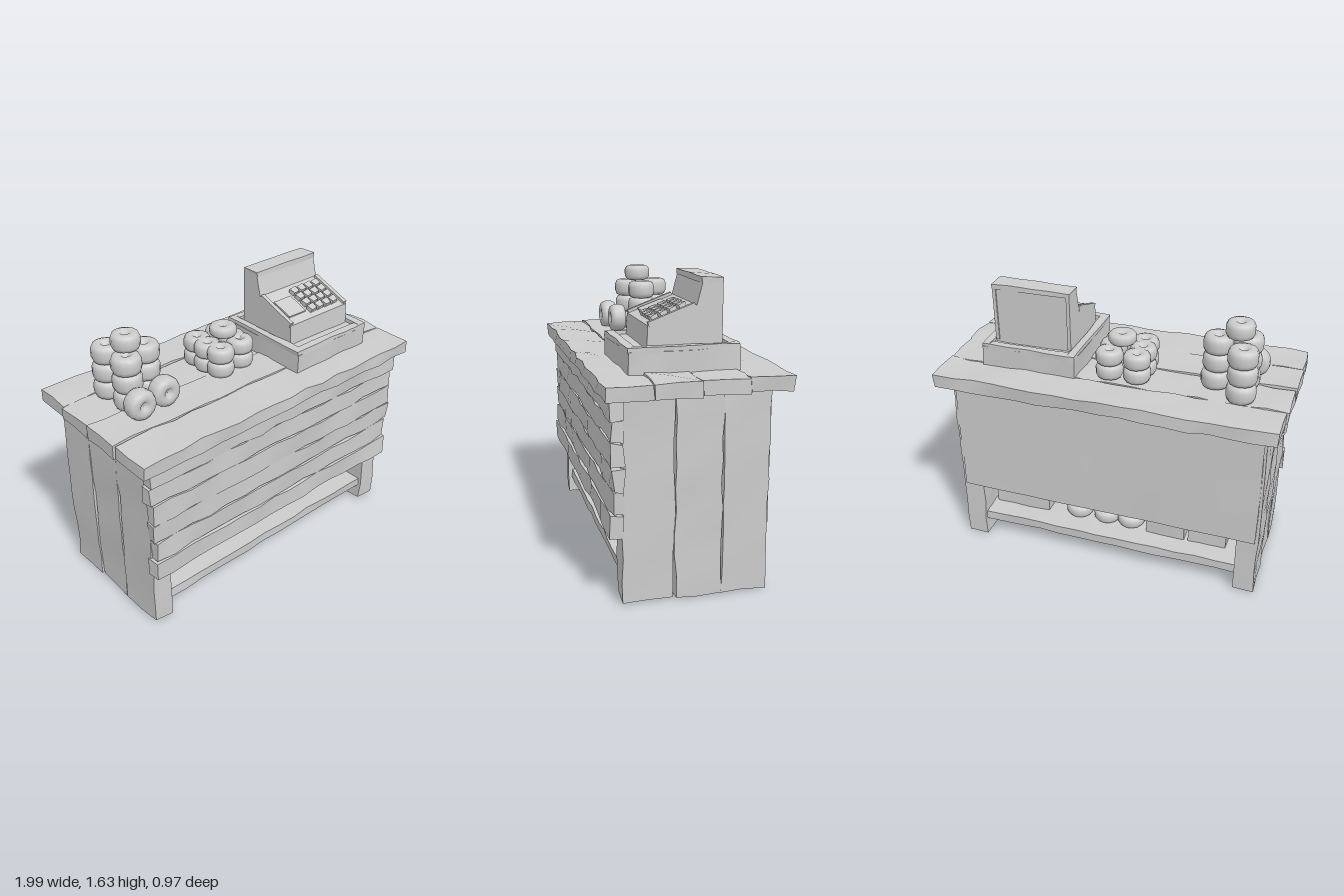
import * as THREE from 'three';
import { toCreasedNormals } from 'three/addons/utils/BufferGeometryUtils.js';

const stone = new THREE.MeshStandardMaterial({ color: 0xcccccc });
stone.name = 'plain light grey';

// Repeatable value from -0.5 to 0.5 for a point, so shared corners stay joined
function noise(x, y, z, seed) {
  const s = Math.sin(x * 127.1 + y * 311.7 + z * 74.7 + seed * 19.3) * 43758.5453;
  return s - Math.floor(s) - 0.5;
}

// Shift the vertices of a geometry a little for a hand-hewn surface
function roughen(geo, amount, crease = 0.6) {
  const p = geo.attributes.position;
  for (let i = 0; i < p.count; i++) {
    const [x, y, z] = [p.getX(i), p.getY(i), p.getZ(i)].map((v) => Math.round(v * 1000) / 1000);
    p.setXYZ(i,
      x + noise(x, y, z, 1) * amount,
      y + noise(x, y, z, 2) * amount,
      z + noise(x, y, z, 3) * amount);
  }
  return toCreasedNormals(geo, crease);
}

function add(parent, name, geo) {
  const mesh = new THREE.Mesh(geo, stone);
  mesh.name = name;
  parent.add(mesh);
  return mesh;
}

// Box between two limits on each axis, split into cells of about the given size
function slab(parent, name, [x0, x1], [y0, y1], [z0, z1], rough = 0, cell = 0.12) {
  const n = (d) => (rough ? Math.max(1, Math.round(d / cell)) : 1);
  const [w, h, d] = [x1 - x0, y1 - y0, z1 - z0];
  const geo = new THREE.BoxGeometry(w, h, d, n(w), n(h), n(d));
  geo.translate((x0 + x1) / 2, (y0 + y1) / 2, (z0 + z1) / 2);
  return add(parent, name, rough ? roughen(geo, rough) : geo);
}

// Barrel-shaped roll with a dimple in each end, resting on its base
function roll(parent, name, x, y, z, r, h) {
  const profile = [
    [0, 0.2], [0.2, 0.18], [0.32, 0.04], [0.6, 0], [0.88, 0.08], [1, 0.3],
    [1, 0.7], [0.88, 0.92], [0.6, 1], [0.32, 0.96], [0.2, 0.82], [0, 0.8],
  ].map(([a, b]) => new THREE.Vector2(a * r, b * h));
  const mesh = add(parent, name, new THREE.LatheGeometry(profile, 14));
  mesh.position.set(x, y, z);
  mesh.rotation.y = noise(x, y, z, 5) * 6;
  return mesh;
}

function buildCounter() {
  const g = new THREE.Group();
  g.name = 'counter';

  // Worktop planks running lengthwise
  const tops = [-0.48, -0.25, 0, 0.24, 0.48];
  for (let i = 0; i < 4; i++) {
    const e = 0.985 + noise(i, 2, 3, 1) * 0.015;
    slab(g, 'topPlank', [-e, e], [1.095, 1.17 + noise(i, 1, 1, 4) * 0.008],
      [tops[i], tops[i + 1] - (i < 3 ? 0.004 : 0)], 0.014);
  }
  slab(g, 'topCore', [-0.97, 0.97], [1.1, 1.155], [-0.46, 0.46]);

  // Upright end panels made of vertical boards
  const ends = [-0.385, -0.135, 0.115, 0.385];
  for (const s of [-1, 1]) {
    for (let i = 0; i < 3; i++) {
      const out = 0.912 + noise(i, s, 1, 2) * 0.012;
      slab(g, 'endBoard', s > 0 ? [0.79, out] : [-out, -0.79], [0.012, 1.1],
        [ends[i], ends[i + 1] - (i < 2 ? 0.004 : 0)], 0.012);
    }
  }

  // Closed cupboard between the ends, with a smooth back
  slab(g, 'cupboard', [-0.8, 0.8], [0.385, 1.1], [-0.37, 0.385]);
  slab(g, 'backPanel', [-0.9, 0.9], [0.375, 1.1], [-0.393, -0.368], 0.006, 0.2);

  // Horizontal planks on the front, with uneven depth and ends
  const rows = [0.375, 0.495, 0.62, 0.74, 0.87, 0.985, 1.1];
  for (let i = 0; i < 6; i++) {
    const l = -0.915 + noise(i, 4, 1, 1) * 0.02;
    const r = 0.915 + noise(i, 5, 1, 1) * 0.02;
    slab(g, 'frontPlank', [l, r], [rows[i], rows[i + 1] - 0.006],
      [0.375, 0.438 + noise(i, 7, 2, 3) * 0.016], 0.016);
  }

  // Open shelf near the floor
  slab(g, 'lowerShelf', [-0.8, 0.8], [0.11, 0.165], [-0.365, 0.365], 0.01);
  return g;
}

function buildShelfGoods() {
  const g = new THREE.Group();
  g.name = 'shelfGoods';
  slab(g, 'shelfBox', [-0.71, -0.475], [0.16, 0.27], [-0.24, 0.22], 0.008);
  slab(g, 'shelfBox', [-0.45, -0.215], [0.16, 0.27], [-0.24, 0.22], 0.008);
  slab(g, 'shelfCrate', [0.42, 0.77], [0.16, 0.295], [-0.24, 0.24], 0.008);
  for (const z of [-0.17, 0, 0.17]) {
    roll(g, 'shelfRoll', -0.1, 0.16, z, 0.085, 0.075);
    roll(g, 'shelfRoll', 0.055, 0.16, z, 0.085, 0.075);
    roll(g, 'shelfRoll', 0.235, 0.16, z, 0.085, 0.075);
  }
  roll(g, 'shelfRoll', 0.055, 0.23, 0.08, 0.09, 0.045);
  roll(g, 'shelfRoll', 0.055, 0.23, -0.09, 0.09, 0.045);
  return g;
}

function buildRolls() {
  const g = new THREE.Group();
  g.name = 'rolls';

  // Tall stack: three columns and one roll on top
  for (const [x, z] of [[-0.72, -0.19], [-0.71, -0.02], [-0.55, -0.08]]) {
    for (let i = 0; i < 3; i++) {
      const j = noise(x, i, z, 1) * 0.015;
      roll(g, 'stackedRoll', x + j, 1.168 + i * 0.104, z - j, 0.083, 0.107);
    }
  }
  roll(g, 'topRoll', -0.668, 1.48, -0.075, 0.08, 0.095);

  // Two rolls standing on edge in front, holes facing forward
  for (const [x, z] of [[-0.73, 0.06], [-0.555, 0.035]]) {
    roll(g, 'frontRoll', x, 1.253, z, 0.086, 0.1).rotation.set(Math.PI / 2, 0, 0);
  }

  // Low pile of smaller rolls
  const pile = [[-0.125, -0.165], [0.035, -0.165], [-0.13, -0.065],
    [0.045, -0.06], [-0.115, 0.03], [0.04, 0.015]];
  for (const [x, z] of pile) {
    for (let i = 0; i < 2; i++) roll(g, 'pileRoll', x, 1.168 + i * 0.085, z, 0.078, 0.088);
  }
  roll(g, 'pileTopRoll', -0.01, 1.34, -0.07, 0.08, 0.065);
  return g;
}

function buildRegister() {
  const g = new THREE.Group();
  g.name = 'cashRegister';

  // Drawer base with a raised rim
  slab(g, 'drawer', [0.205, 0.765], [1.165, 1.285], [-0.27, 0.32], 0.01);
  for (const [x, z] of [
    [[0.205, 0.25], [-0.27, 0.32]], [[0.72, 0.765], [-0.27, 0.32]],
    [[0.25, 0.72], [0.275, 0.32]], [[0.25, 0.72], [-0.27, -0.225]],
  ]) slab(g, 'drawerRim', x, [1.275, 1.305], z, 0.006);

  // Sloped housing, drawn as a side profile (depth, height) and widened along x
  const side = new THREE.Shape([
    [0.21, 1.28], [0.205, 1.405], [-0.05, 1.5], [-0.085, 1.635], [-0.18, 1.635], [-0.18, 1.28],
  ].map(([z, y]) => new THREE.Vector2(-z, y)));
  const body = new THREE.ExtrudeGeometry(side, { depth: 0.46, bevelEnabled: false });
  body.rotateY(Math.PI / 2);
  body.translate(0.255, 0, 0);
  add(g, 'housing', body);

  // Raised cheeks beside the keyboard
  const keyboard = new THREE.Group();
  keyboard.name = 'keyboard';
  keyboard.position.set(0.485, 1.453, 0.078);
  keyboard.rotation.x = Math.atan2(0.095, 0.255);
  g.add(keyboard);
  for (const x of [-0.22, 0.22]) {
    slab(keyboard, 'cheek', [x - 0.012, x + 0.012], [-0.02, 0.015], [-0.13, 0.13]);
  }

  // Key grid and a flat side plate
  for (let c = 0; c < 4; c++) {
    for (let r = 0; r < 4; r++) {
      const key = slab(keyboard, 'key', [-0.024, 0.024], [-0.01, 0.026], [-0.02, 0.02], 0.008);
      key.position.set(-0.015 + c * 0.058, 0, -0.075 + r * 0.052);
    }
  }
  slab(keyboard, 'sidePlate', [-0.19, -0.06], [-0.01, 0.009], [-0.06, 0.08], 0.006);

  // Display strip above the keys and a thin frame around the back
  slab(g, 'displayLip', [0.255, 0.715], [1.61, 1.638], [-0.187, -0.075], 0.006);
  for (const x of [[0.255, 0.275], [0.695, 0.715]]) {
    slab(g, 'backFrame', x, [1.3, 1.63], [-0.188, -0.17]);
  }
  return g;
}

export function createModel() {
  const model = new THREE.Group();
  model.name = 'shopCounter';
  model.add(buildCounter(), buildShelfGoods(), buildRolls(), buildRegister());
  return model;
}
